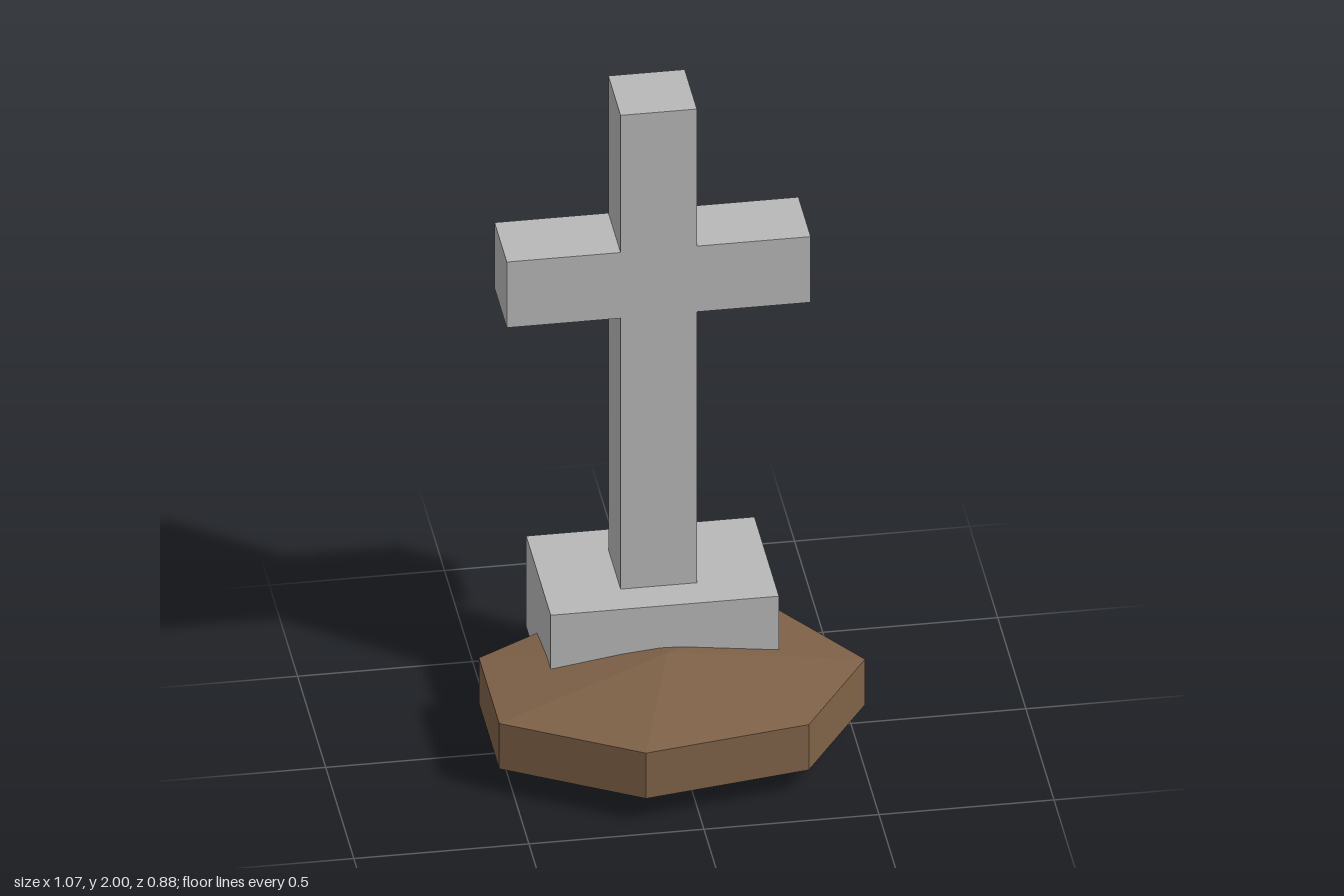
import * as THREE from 'three';

export function createModel() {
  const model = new THREE.Group();
  const stone = new THREE.MeshStandardMaterial({ name: 'greyStone', color: 0xb8b8b8 });
  const earth = new THREE.MeshStandardMaterial({ name: 'brownEarth', color: 0x7e6147, flatShading: true });
  const cx = -0.03;

  const add = (name, geometry, material, x, y, z) => {
    const mesh = new THREE.Mesh(geometry, material);
    mesh.name = name;
    mesh.position.set(x, y, z);
    model.add(mesh);
    return mesh;
  };

  // Earth mound: seven-sided disc with shallow points above and below
  const profile = [[0, 0], [1, 0.08], [1, 0.23], [0, 0.305]].map(([r, y]) => new THREE.Vector2(r, y));
  const mound = add('earthMound', new THREE.LatheGeometry(profile, 7, Math.PI / 2), earth, cx, 0, 0.035);
  mound.scale.set(0.565, 1, 0.415);

  // Plinth block, partly sunk into the mound
  add('plinth', new THREE.BoxGeometry(0.652, 0.3, 0.435), stone, cx, 0.285, -0.226);

  // Cross: one mirrored outline, extruded
  const half = [[0.109, 0.435], [0.109, 1.33], [0.434, 1.33], [0.434, 1.547], [0.109, 1.547], [0.109, 2]];
  const outline = [...half, ...half.map(([x, y]) => [-x, y]).reverse()];
  const shape = new THREE.Shape(outline.map(([x, y]) => new THREE.Vector2(x, y)));
  add('cross', new THREE.ExtrudeGeometry(shape, { depth: 0.217, bevelEnabled: false }), stone, cx, 0, -0.334);

  return model;
}
